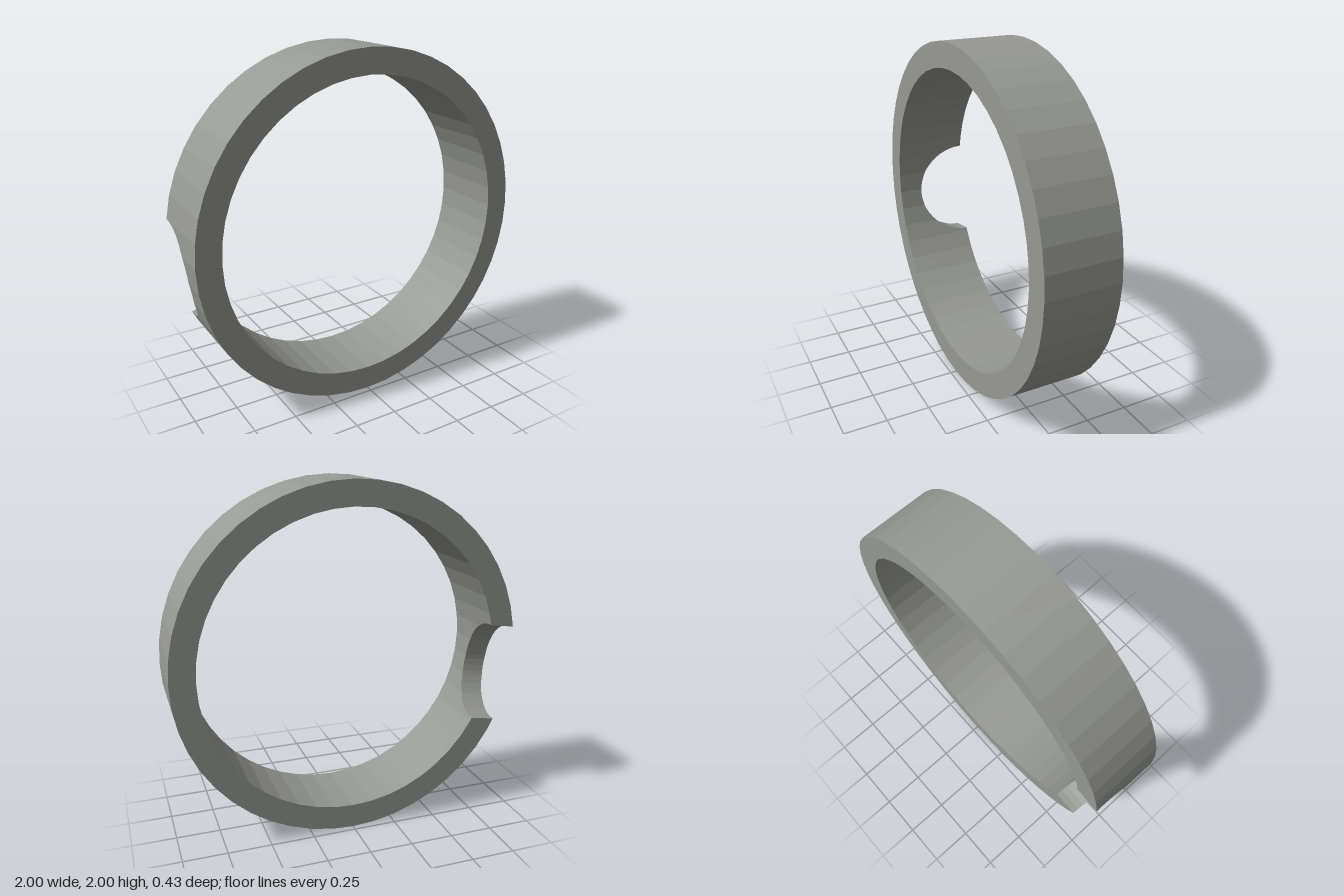
import * as THREE from 'three';

const SIDES = 48, STEP = (2 * Math.PI) / SIDES;
const OUTER = 1, INNER = 0.86, FRONT = 0.215, BACK = -0.215;
const NOTCH_ANGLE = THREE.MathUtils.degToRad(189.2), NOTCH_R = 0.288;

// Distance from the axis to a regular polygon's edge in direction a
function polygonRadius(r, a) {
  const local = ((a % STEP) + STEP) % STEP;
  return (r * Math.cos(STEP / 2)) / Math.cos(local - STEP / 2);
}

function pointAt(r, a) {
  const d = polygonRadius(r, a);
  return [d * Math.cos(a), d * Math.sin(a) + 1];
}

// Point on the polygon at sideways offset t from the notch axis
function pointAtOffset(r, t) {
  let a = NOTCH_ANGLE;
  for (let i = 0; i < 8; i++) a = NOTCH_ANGLE + Math.asin(t / polygonRadius(r, a));
  return pointAt(r, a);
}

function buildStations() {
  // Offsets across the round notch, including the ring's own corners
  const offsets = [];
  const n = 24;
  for (let i = 0; i <= n; i++) offsets.push(-NOTCH_R * Math.cos((Math.PI * i) / n));
  for (const r of [OUTER, INNER]) {
    for (let k = 20; k <= 30; k++) {
      const t = r * Math.sin(k * STEP - NOTCH_ANGLE);
      if (Math.abs(t) < NOTCH_R - 0.002) offsets.push(t);
    }
  }
  offsets.sort((a, b) => a - b);
  const stations = offsets.map((t) => ({
    o: pointAtOffset(OUTER, t),
    i: pointAtOffset(INNER, t),
    z: BACK + Math.sqrt(Math.max(0, NOTCH_R * NOTCH_R - t * t)),
  }));
  // Full-depth remainder of the ring
  for (let k = 28; k <= 70; k++) {
    const a = k * STEP + 1e-9;
    stations.push({ o: pointAt(OUTER, a), i: pointAt(INNER, a), z: BACK });
  }
  return stations;
}

function ringGeometry() {
  const pos = [];
  const quad = (a, b, c, d) => pos.push(...a, ...b, ...c, ...a, ...c, ...d);
  const stations = buildStations();
  stations.forEach((a, k) => {
    const b = stations[(k + 1) % stations.length];
    const ao = [...a.o, a.z], bo = [...b.o, b.z], ai = [...a.i, a.z], bi = [...b.i, b.z];
    const aoF = [...a.o, FRONT], boF = [...b.o, FRONT], aiF = [...a.i, FRONT], biF = [...b.i, FRONT];
    quad(ao, bo, boF, aoF); // outside
    quad(bi, ai, aiF, biF); // inside
    quad(aoF, boF, biF, aiF); // front rim
    quad(bo, ao, ai, bi); // back rim and notch wall
  });
  const g = new THREE.BufferGeometry();
  g.setAttribute('position', new THREE.Float32BufferAttribute(pos, 3));
  g.computeVertexNormals();
  return g;
}

export function createModel() {
  const group = new THREE.Group();
  group.name = 'notchedRing';
  const grey = new THREE.MeshStandardMaterial({ color: 0x979994 });
  grey.name = 'warm grey';
  const ring = new THREE.Mesh(ringGeometry(), grey);
  ring.name = 'ring';
  group.add(ring);
  return group;
}
